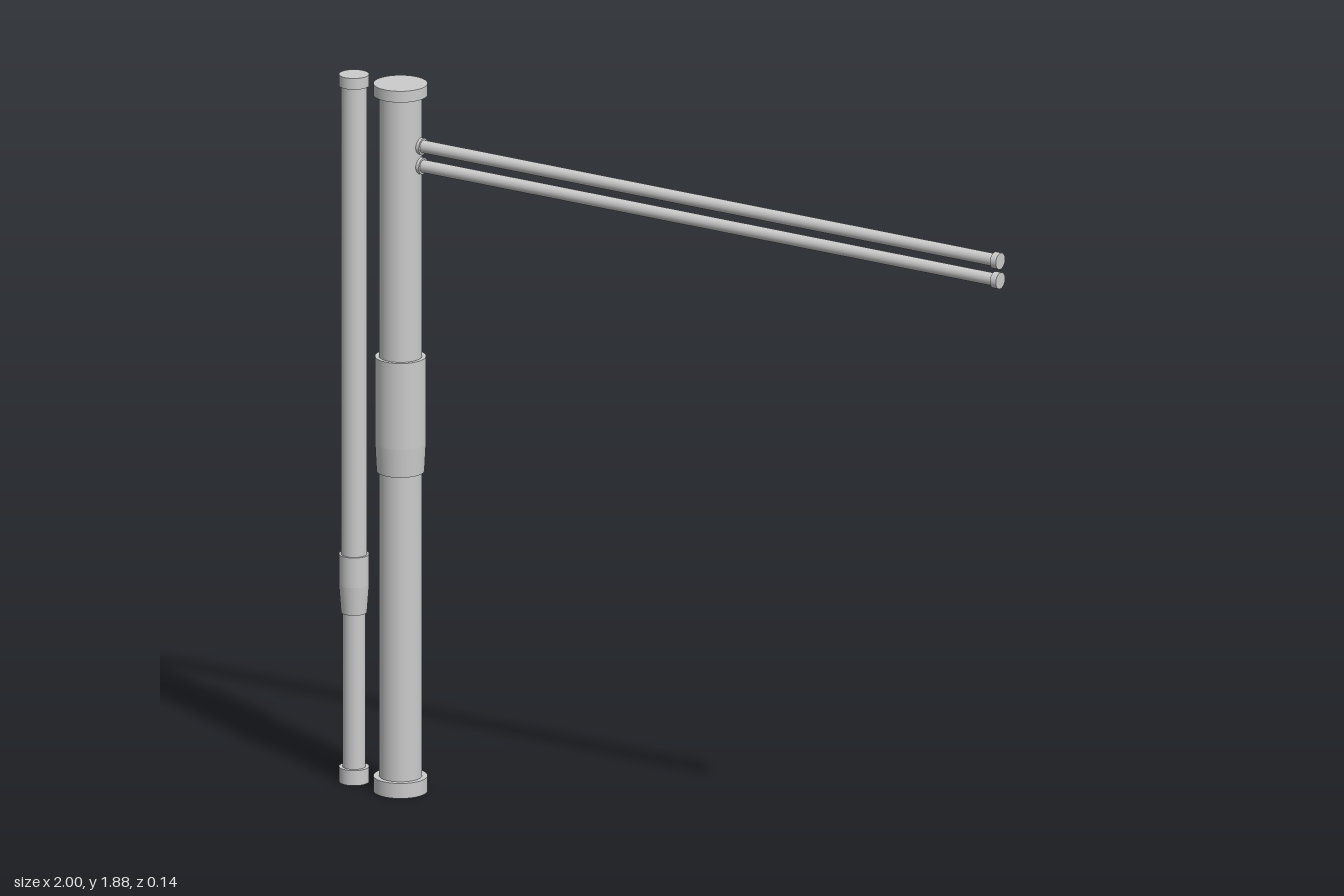
import * as THREE from 'three';

const material = new THREE.MeshStandardMaterial({ color: 0xcccccc });

// Upright cylinder or cone section between two heights
function section(name, y0, y1, rBottom, rTop = rBottom, sides = 48) {
  const mesh = new THREE.Mesh(new THREE.CylinderGeometry(rTop, rBottom, y1 - y0, sides), material);
  mesh.name = name;
  mesh.position.y = (y0 + y1) / 2;
  return mesh;
}

function assembly(name, ...parts) {
  const group = new THREE.Group();
  group.name = name;
  group.add(...parts);
  return group;
}

export function createModel() {
  const model = new THREE.Group();
  model.name = 'pipeAssembly';

  // Thick upright pipe with end collars and a tapered coupling
  const mainPipe = assembly('mainPipe',
    section('mainTube', 0.02, 1.87, 0.055),
    section('mainBottomCollar', 0, 0.04, 0.069),
    section('mainTopCollar', 1.85, 1.88, 0.069),
    section('mainCoupling', 0.925, 1.155, 0.065),
    section('mainCouplingTaper', 0.85, 0.925, 0.061, 0.065));
  mainPipe.position.x = -0.82;

  // Thin upright pipe, narrower below its coupling
  const sidePipe = assembly('sidePipe',
    section('sideLowerTube', 0.02, 0.5, 0.029),
    section('sideUpperTube', 0.55, 1.87, 0.033),
    section('sideBottomCollar', 0, 0.04, 0.0385),
    section('sideTopCollar', 1.85, 1.88, 0.0385),
    section('sideCoupling', 0.525, 0.605, 0.0385),
    section('sideCouplingTaper', 0.45, 0.525, 0.033, 0.0385));
  sidePipe.position.x = -0.9615;
  model.add(mainPipe, sidePipe);

  // Pair of horizontal pipes with a collar at each end
  const start = -0.775, length = 1 - start;
  [['upperBranch', 1.72], ['lowerBranch', 1.668]].forEach(([name, y]) => {
    const branch = assembly(name,
      section(name + 'Tube', 0.005, length - 0.005, 0.0165, 0.0165, 32),
      section(name + 'InnerCollar', 0, 0.018, 0.0215, 0.0215, 32),
      section(name + 'OuterCollar', length - 0.018, length, 0.0215, 0.0215, 32));
    branch.rotation.z = -Math.PI / 2;
    branch.position.set(start, y, -0.01);
    model.add(branch);
  });

  return model;
}
